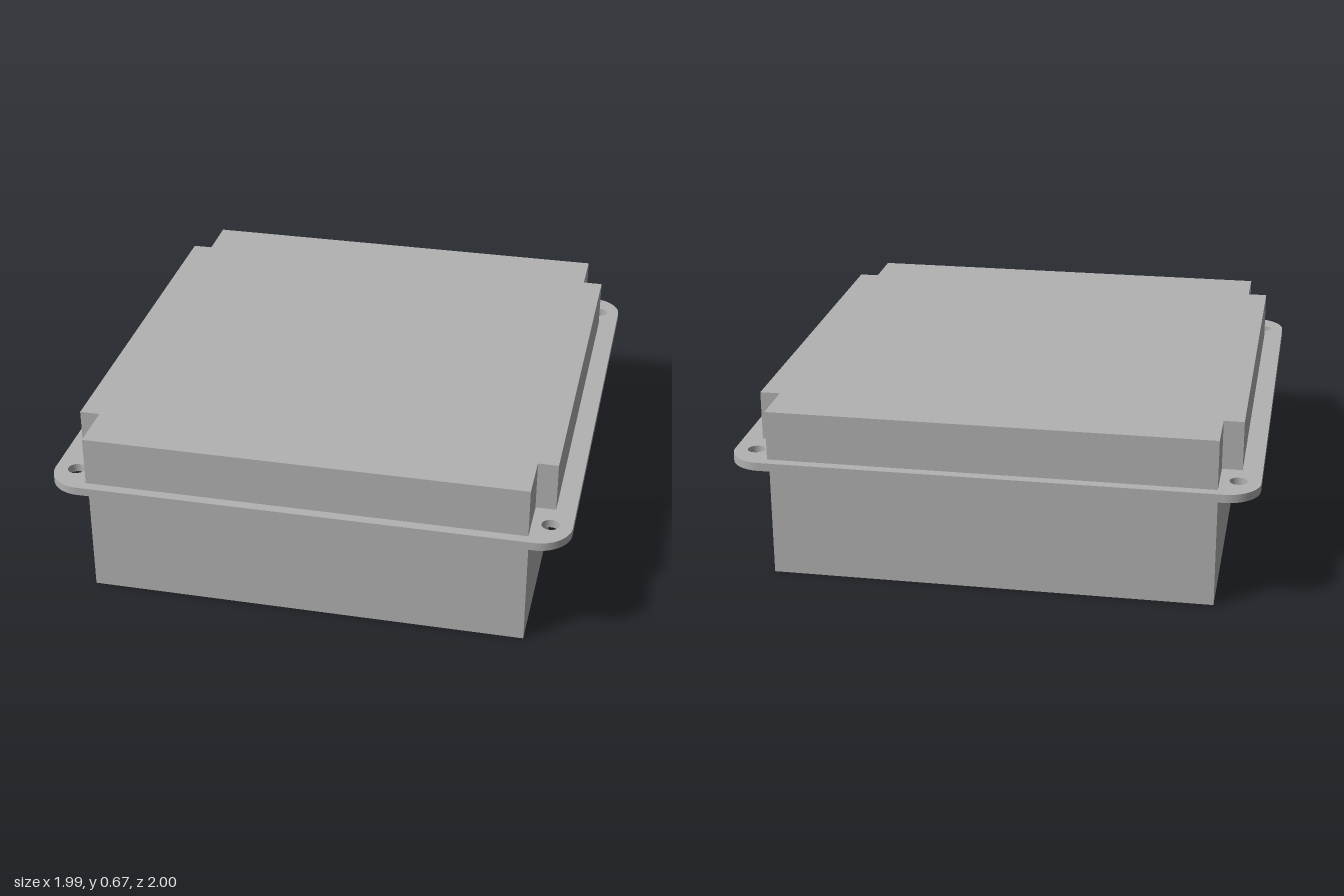
import * as THREE from 'three';

const BASE_TOP = 0.444, FLANGE_TOP = 0.476, TOP = 0.667;

// Extrude a plan outline (x, z) upward from y0 to y1
function slab(name, shape, y0, y1, material) {
  const geometry = new THREE.ExtrudeGeometry(shape, { depth: y1 - y0, bevelEnabled: false, curveSegments: 16 });
  geometry.rotateX(-Math.PI / 2);
  geometry.translate(0, y0, 0);
  const mesh = new THREE.Mesh(geometry, material);
  mesh.name = name;
  return mesh;
}

function roundedRect(hx, hz, r) {
  const s = new THREE.Shape();
  s.absarc(hx - r, hz - r, r, 0, Math.PI / 2);
  s.absarc(-hx + r, hz - r, r, Math.PI / 2, Math.PI);
  s.absarc(-hx + r, -hz + r, r, Math.PI, Math.PI * 1.5);
  s.absarc(hx - r, -hz + r, r, Math.PI * 1.5, Math.PI * 2);
  s.closePath();
  return s;
}

// Rectangle with a square notch cut from every corner
function notchedRect(hx, hz, nx, nz) {
  return new THREE.Shape([
    [hx, -nz], [hx, nz], [nx, nz], [nx, hz], [-nx, hz], [-nx, nz],
    [-hx, nz], [-hx, -nz], [-nx, -nz], [-nx, -hz], [nx, -hz], [nx, -nz],
  ].map(([x, z]) => new THREE.Vector2(x, z)));
}

export function createModel() {
  const group = new THREE.Group();
  group.name = 'flangedEnclosure';
  const grey = new THREE.MeshStandardMaterial({ color: 0xb2b2b2 });
  grey.name = 'grey';

  // Lower box
  const base = new THREE.Mesh(new THREE.BoxGeometry(1.686, BASE_TOP, 1.88), grey);
  base.position.y = BASE_TOP / 2;
  base.name = 'lowerBox';
  group.add(base);

  // Mounting flange with four screw holes
  const outline = roundedRect(0.995, 1, 0.127);
  for (const sx of [-1, 1]) for (const sz of [-1, 1]) {
    const hole = new THREE.Path();
    hole.absarc(sx * 0.912, sz * 0.87, 0.033, 0, Math.PI * 2, true);
    outline.holes.push(hole);
  }
  group.add(slab('mountingFlange', outline, BASE_TOP, FLANGE_TOP, grey));

  // Cover, notched to clear the screws
  group.add(slab('notchedCover', notchedRect(0.92, 0.961, 0.843, 0.765), FLANGE_TOP, TOP, grey));

  return group;
}
